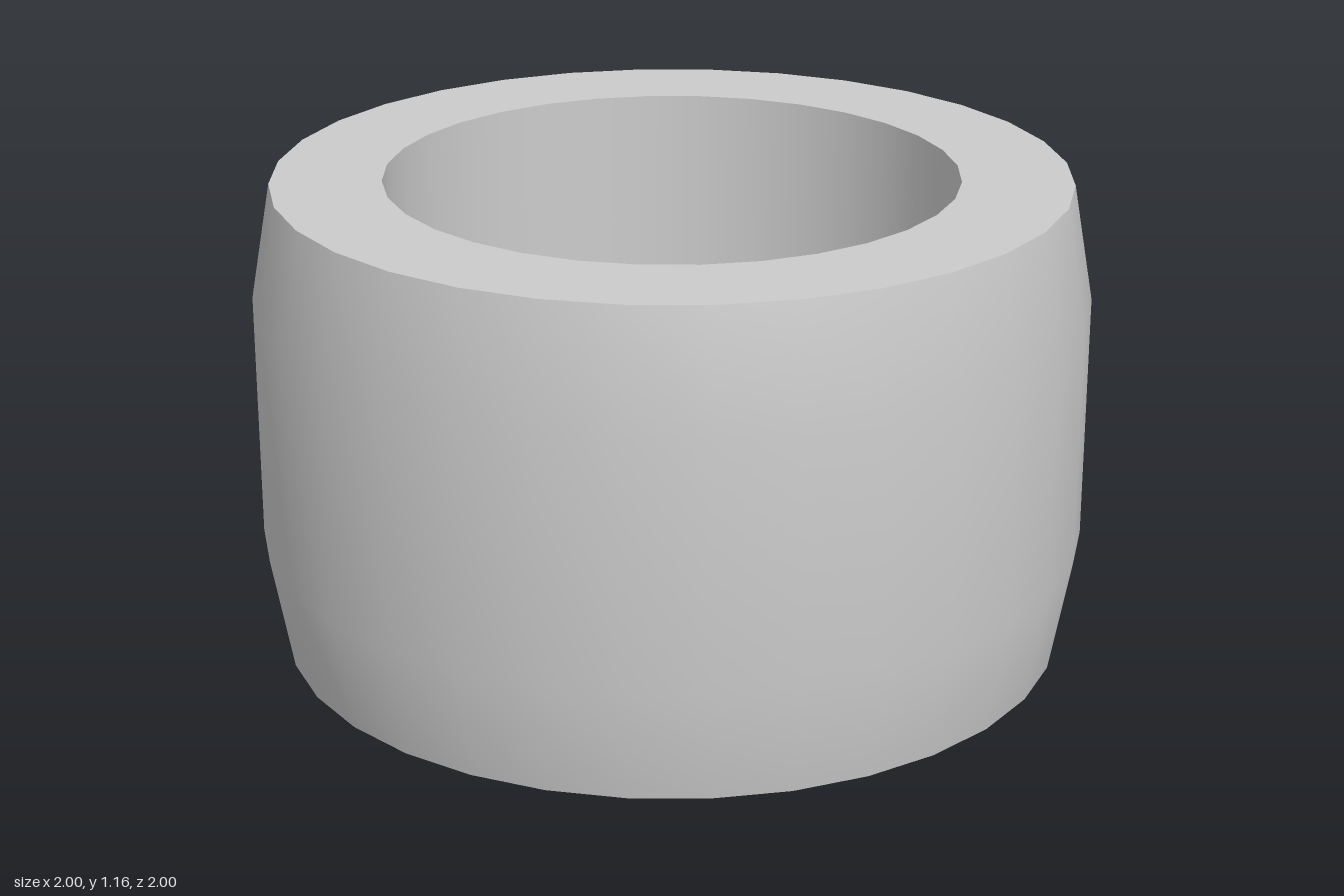
import * as THREE from 'three';

const SIDES = 32;
const HEIGHT = 1.16;
const RIM = 0.95;  // outer radius at both ends
const BELLY = 1;   // outer radius of the middle band
const BORE = 0.685;

export function createModel() {
  const group = new THREE.Group();
  group.name = 'barrelRing';
  const material = new THREE.MeshStandardMaterial({ color: 0xcccccc });

  // Each surface is its own lathe, so the rims between them stay sharp.
  const addLathe = (name, profile) => {
    const points = profile.map(([r, y]) => new THREE.Vector2(r, y));
    const mesh = new THREE.Mesh(new THREE.LatheGeometry(points, SIDES), material);
    mesh.name = name;
    group.add(mesh);
  };

  // The profile runs up the outside, over the top and down the bore.
  addLathe('outerWall', [[RIM, 0], [BELLY, 0.28], [BELLY, HEIGHT - 0.28], [RIM, HEIGHT]]);
  addLathe('topFace', [[RIM, HEIGHT], [BORE, HEIGHT]]);
  addLathe('boreWall', [[BORE, HEIGHT], [BORE, 0]]);
  addLathe('bottomFace', [[BORE, 0], [RIM, 0]]);

  return group;
}
